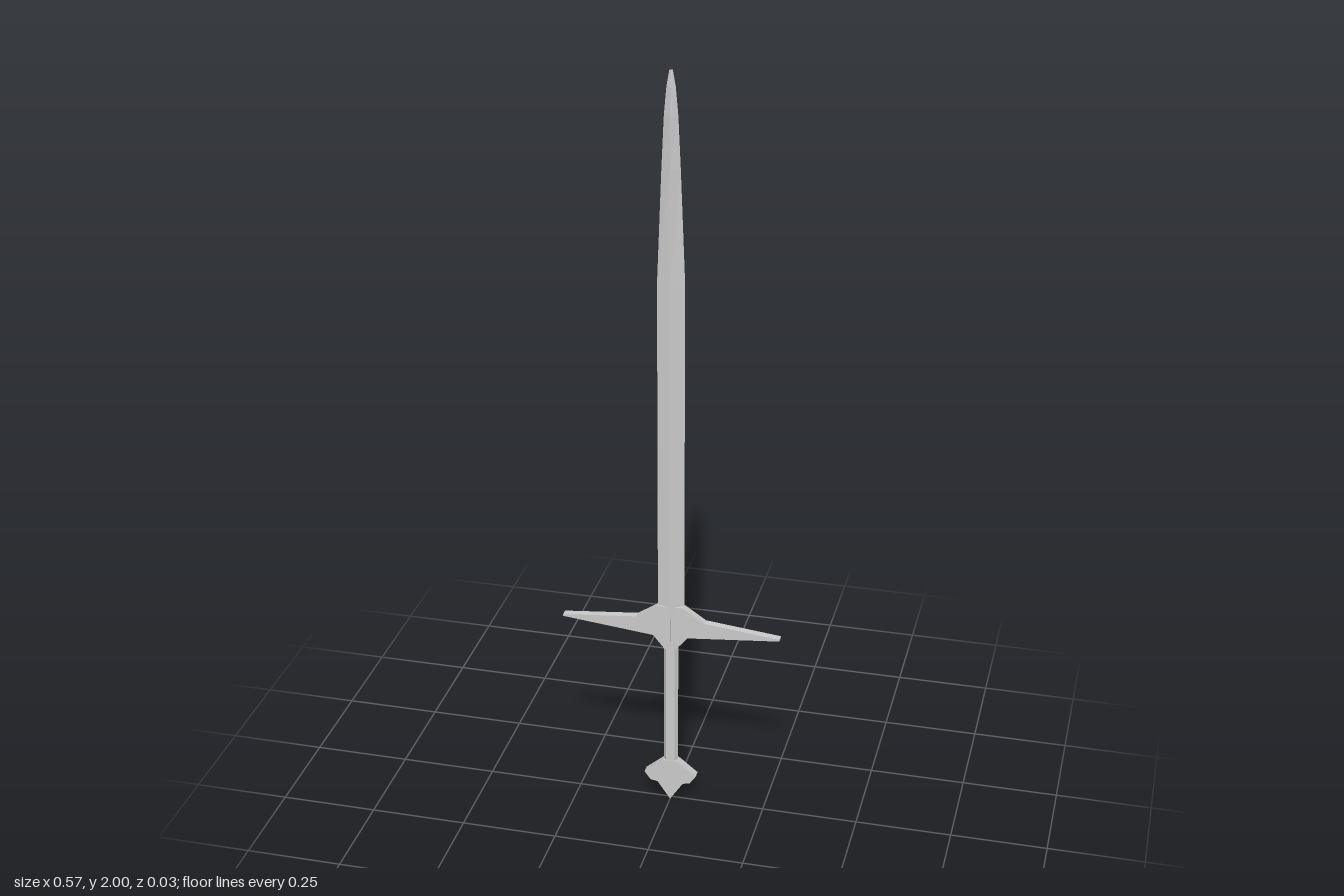
import * as THREE from 'three';

const metal = new THREE.MeshStandardMaterial({ color: 0xcccccc, flatShading: true, side: THREE.DoubleSide });

function addMesh(parent, name, geometry) {
  const mesh = new THREE.Mesh(geometry, metal);
  mesh.name = name;
  parent.add(mesh);
  return mesh;
}

// Closed solid through rings of [x, y, z] points, each counterclockwise from above
function loft(rings) {
  const n = rings[0].length;
  const index = [];
  for (let i = 0; i < rings.length - 1; i++) {
    for (let j = 0; j < n; j++) {
      const a = i * n + j, b = i * n + (j + 1) % n;
      index.push(a, b, b + n, a, b + n, a + n);
    }
  }
  const top = (rings.length - 1) * n;
  for (let j = 1; j < n - 1; j++) {
    index.push(0, j + 1, j, top, top + j, top + j + 1);
  }
  const geometry = new THREE.BufferGeometry();
  geometry.setAttribute('position', new THREE.Float32BufferAttribute(rings.flat(2), 3));
  geometry.setIndex(index);
  geometry.computeVertexNormals();
  return geometry;
}

// Plate of constant thickness between zBack and zFront
function plate(points, zBack, zFront) {
  const shape = new THREE.Shape(points.map(([x, y]) => new THREE.Vector2(x, y)));
  const geometry = new THREE.ExtrudeGeometry(shape, { depth: zFront - zBack, bevelEnabled: false });
  return geometry.translate(0, 0, zBack);
}

export function createModel() {
  const sword = new THREE.Group();
  sword.name = 'sword';

  // Blade: slightly skewed diamond section [y, half width, half thickness]
  const bladeSections = [
    [0.55, 0.034, 0.012], [1.47, 0.034, 0.012], [1.76, 0.023, 0.012],
    [1.89, 0.017, 0.0105], [1.96, 0.011, 0.006], [2.0, 0.004, 0.001],
  ];
  addMesh(sword, 'blade', loft(bladeSections.map(([y, w, t]) => {
    const skew = 0.1 * w;
    return [[w, y, -skew], [0, y, -t], [-w, y, skew], [0, y, t]];
  })));

  // Crossguard: one arm repeated by a half turn, so the arms are offset in depth
  const arm = [
    [0, 0.46], [0.014, 0.46], [0.045, 0.498], [0.286, 0.522],
    [0.286, 0.527], [0.09, 0.547], [0.033, 0.585], [0, 0.585],
  ];
  const guard = new THREE.Group();
  guard.name = 'crossguard';
  for (const [name, angle] of [['leftArm', 0], ['rightArm', Math.PI]]) {
    addMesh(guard, name, plate(arm, -0.0118, 0.0078)).rotation.y = angle;
  }
  sword.add(guard);

  // Grip: six-sided bar
  addMesh(sword, 'grip', loft([0.1, 0.48].map((y) => [
    [0.019, y, -0.001], [0.011, y, -0.011], [-0.011, y, -0.009],
    [-0.019, y, 0.001], [-0.011, y, 0.011], [0.011, y, 0.009],
  ])));

  // Pommel: winged plate, sheared a little in depth
  const wing = [[0.019, 0.12], [0.069, 0.078], [0.053, 0.055], [0.034, 0.051]];
  const mirrored = wing.map(([x, y]) => [-x, y]);
  const pommel = plate([[0, 0], ...wing.slice().reverse(), ...mirrored], -0.0115, 0.0115);
  const position = pommel.attributes.position;
  for (let i = 0; i < position.count; i++) {
    position.setZ(i, position.getZ(i) - 0.05 * position.getX(i));
  }
  pommel.computeVertexNormals();
  addMesh(sword, 'pommel', pommel);

  return sword;
}
